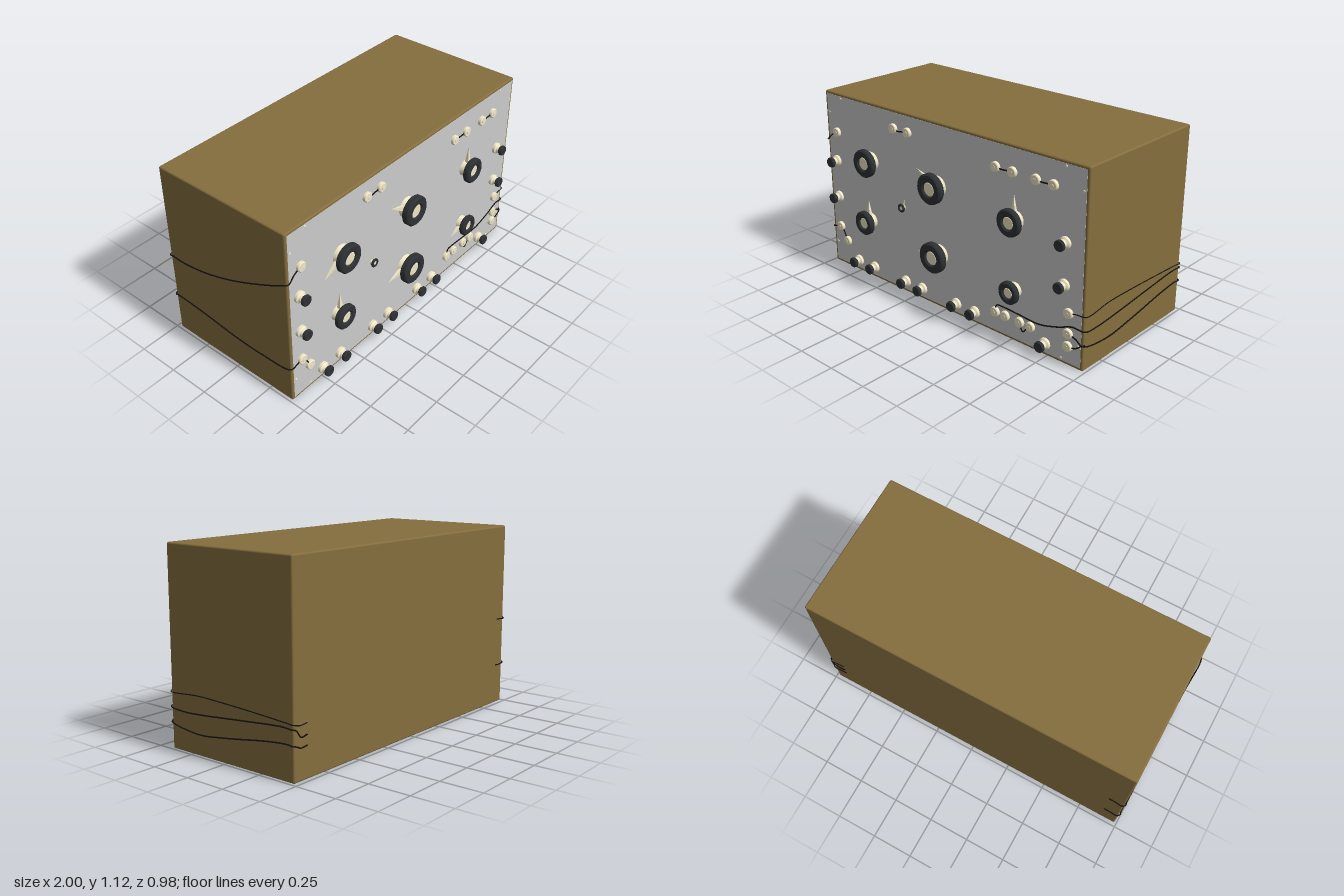
import * as THREE from 'three';
import { RoundedBoxGeometry } from 'three/addons/geometries/RoundedBoxGeometry.js';

const mat = (color) => new THREE.MeshStandardMaterial({ color });
const brown = mat(0x856e3e), grey = mat(0xcccccc), cream = mat(0xefe7c6), black = mat(0x2e3134), wireMat = mat(0x15130f);
const FRONT = 0.409; // face of the instrument panel
const SIDE = 0.991, BACK = -0.484; // planes the wires run along

function add(parent, name, geometry, material, x = 0, y = 0, z = 0) {
  const mesh = new THREE.Mesh(geometry, material);
  mesh.name = name;
  mesh.position.set(x, y, z);
  parent.add(mesh);
  return mesh;
}

// Turned part: [radius, height] points, axis turned to face +z; repeated points keep edges crisp
function turned(points, segments = 32) {
  const profile = [];
  points.forEach(([r, h], i) => {
    const v = new THREE.Vector2(r, h);
    profile.push(v);
    if (i > 0 && i < points.length - 1) profile.push(v.clone());
  });
  return new THREE.LatheGeometry(profile, segments).rotateX(Math.PI / 2);
}

function wire(parent, name, points, radius = 0.004) {
  const curve = new THREE.CatmullRomCurve3(points.map((p) => new THREE.Vector3(...p)), false, 'centripetal');
  return add(parent, name, new THREE.TubeGeometry(curve, points.length * 10, radius, 6), wireMat);
}

// Dial: cream skirt and pointer behind a thick black ring with a cream centre
function dial(parent, [x, y, r, tipX, tipY, z0, z1]) {
  const g = new THREE.Group();
  g.name = 'dial';
  g.position.set(x, y, FRONT);
  parent.add(g);
  const hub = r * 0.46, b = Math.min(0.008, r * 0.15), top = z1 - FRONT, low = z0 - FRONT;
  add(g, 'dialSkirt', turned([[0, 0], [r * 0.68, 0], [r * 0.6, low * 0.6], [r * 0.5, low + 0.002], [0, low + 0.002]]), cream);
  add(g, 'dialRing', turned([[hub, low], [r - b, low], [r, low + b], [r, top - b], [r - b, top],
    [hub + b, top], [hub, top - b], [hub, low]], 40), black);
  add(g, 'dialCentre', turned([[hub, low], [hub, top - b * 1.4], [hub * 0.85, top - b], [0, top - b]]), cream);
  // Tapering pointer
  const dx = tipX - x, dy = tipY - y, len = Math.hypot(dx, dy);
  const pointer = new THREE.ConeGeometry(r * 0.36, len, 4, 1).rotateY(Math.PI / 4);
  pointer.scale(1, 1, low / (r * 0.55)).translate(0, len / 2, low * 0.48);
  const mesh = add(g, 'dialPointer', pointer.toNonIndexed(), cream);
  mesh.geometry.computeVertexNormals();
  mesh.rotation.z = Math.atan2(-dx, dy);
}

export function createModel() {
  const model = new THREE.Group();
  model.name = 'instrumentBox';

  // Wooden case and front panel
  add(model, 'case', new RoundedBoxGeometry(1.974, 1.125, 0.886, 3, 0.01), brown, 0, 0.5625, -0.035);
  add(model, 'frontPanel', new THREE.BoxGeometry(1.942, 1.093, 0.01), grey, 0, 0.5625, FRONT - 0.005);

  // Panel screws
  const screw = turned([[0.007, 0], [0.006, 0.003], [0, 0.004]], 12);
  for (const s of [-1, 1]) {
    for (const [x, y] of [[0.845, 1.095], [0.955, 0.995], [0.955, 0.14], [0.845, 0.03]]) {
      add(model, 'panelScrew', screw, cream, s * x, y, FRONT);
    }
  }

  // Dials: x, y, radius, pointer tip x, tip y, ring back z, ring front z
  [
    [-0.59, 0.768, 0.084, -0.735, 0.69, 0.445, 0.484],
    [-0.04, 0.757, 0.089, -0.192, 0.83, 0.445, 0.49],
    [0.528, 0.722, 0.077, 0.528, 0.87, 0.445, 0.482],
    [-0.617, 0.382, 0.073, -0.617, 0.522, 0.445, 0.482],
    [-0.035, 0.342, 0.091, -0.207, 0.316, 0.445, 0.49],
    [0.527, 0.317, 0.065, 0.412, 0.276, 0.443, 0.478],
    [-0.329, 0.548, 0.026, -0.315, 0.6, 0.42, 0.434],
  ].forEach((d) => dial(model, d));

  // Binding posts with black caps
  const postBase = turned([[0.034, 0], [0.034, 0.015], [0.025, 0.022], [0.022, 0.035], [0, 0.035]], 24);
  const postCap = turned([[0, 0.032], [0.022, 0.032], [0.022, 0.044], [0.031, 0.044], [0.031, 0.058], [0.028, 0.062], [0, 0.062]], 24);
  const posts = [-0.75, -0.605, -0.325, -0.185, 0.092, 0.235, 0.74].map((x) => [x, 0.073]);
  for (const y of [0.46, 0.695]) posts.push([-0.908, y], [0.855, y]);
  for (const [x, y] of posts) {
    add(model, 'postBase', postBase, cream, x, y, FRONT);
    add(model, 'postCap', postCap, black, x, y, FRONT);
  }

  // Cream terminals with a small screw head
  const terminal = turned([[0.029, 0], [0.029, 0.015], [0.025, 0.019], [0, 0.019]], 24);
  const head = turned([[0.01, 0.018], [0.01, 0.021], [0, 0.022]], 12);
  for (const [x, y] of [[-0.385, 1.015], [-0.27, 1.015], [0.39, 0.98], [0.506, 0.98], [0.66, 0.98], [0.773, 0.98],
    [-0.89, 0.88], [-0.908, 0.26], [-0.85, 0.176], [0.89, 0.31], [0.89, 0.192], [0.89, 0.117],
    [0.39, 0.135], [0.462, 0.135], [0.565, 0.135], [0.64, 0.135]]) {
    add(model, 'terminal', terminal, cream, x, y, FRONT);
    add(model, 'terminalScrew', head, cream, x, y, FRONT);
  }

  // Short jumper wires
  const f = FRONT + 0.007;
  for (const [x0, y0, x1, y1, sag] of [[-0.385, 1.015, -0.27, 1.015, 0.008], [0.39, 0.98, 0.506, 0.98, 0.004],
    [0.66, 0.98, 0.773, 0.98, 0.004], [-0.908, 0.26, -0.85, 0.176, -0.01], [0.565, 0.135, 0.64, 0.135, 0.048]]) {
    wire(model, 'jumperWire', [[x0, y0, f], [x0 + (x1 - x0) * 0.3, y0 + (y1 - y0) * 0.3 - sag, f],
      [x0 + (x1 - x0) * 0.65, y0 + (y1 - y0) * 0.65 - sag * 0.5, f], [x1, y1, f]]);
  }

  // Long wires: along the panel, round the side, and onto the back
  const sideWire = (s, panel, side, endY, radius) => {
    const [firstZ, firstY] = side[0], lastY = side[side.length - 1][1];
    wire(model, 'sideWire', [
      ...panel.map(([x, y]) => [x, y, f]),
      [s * 0.98, firstY + 0.004, f - 0.001],
      [s * (SIDE + 0.003), firstY, firstZ],
      ...side.slice(1).map(([z, y]) => [s * SIDE, y, z]),
      [s * (SIDE + 0.003), lastY, -0.47],
      [s * 0.98, lastY - 0.003, BACK - 0.002],
      [s * 0.94, endY - 0.004, BACK],
      [s * 0.895, endY, BACK],
    ], radius);
  };
  sideWire(1, [[0.89, 0.31], [0.94, 0.322]], [[0.4, 0.32], [0.2, 0.33], [0, 0.326], [-0.25, 0.315], [-0.46, 0.302]], 0.295, 0.003);
  sideWire(1, [[0.39, 0.135], [0.402, 0.18], [0.44, 0.185], [0.56, 0.18], [0.7, 0.175], [0.82, 0.205], [0.92, 0.242]],
    [[0.4, 0.235], [0.3, 0.225], [0.15, 0.233], [-0.15, 0.26], [-0.4, 0.28], [-0.46, 0.277]], 0.235);
  sideWire(1, [[0.89, 0.192], [0.94, 0.18]], [[0.4, 0.15], [0.2, 0.12], [0, 0.14], [-0.3, 0.185], [-0.43, 0.197], [-0.46, 0.195]], 0.18);
  sideWire(-1, [[-0.89, 0.88], [-0.94, 0.855]], [[0.4, 0.815], [0.2, 0.71], [0, 0.625], [-0.2, 0.565], [-0.38, 0.54], [-0.46, 0.543]], 0.545);
  sideWire(-1, [[-0.908, 0.26], [-0.95, 0.25]], [[0.4, 0.236], [0.2, 0.213], [0, 0.218], [-0.25, 0.245], [-0.46, 0.257]], 0.25);
  wire(model, 'linkWire', [[0.89, 0.117, f], [0.94, 0.125, f], [0.975, 0.15, f], [0.992, 0.157, 0.4]]);

  return model;
}
